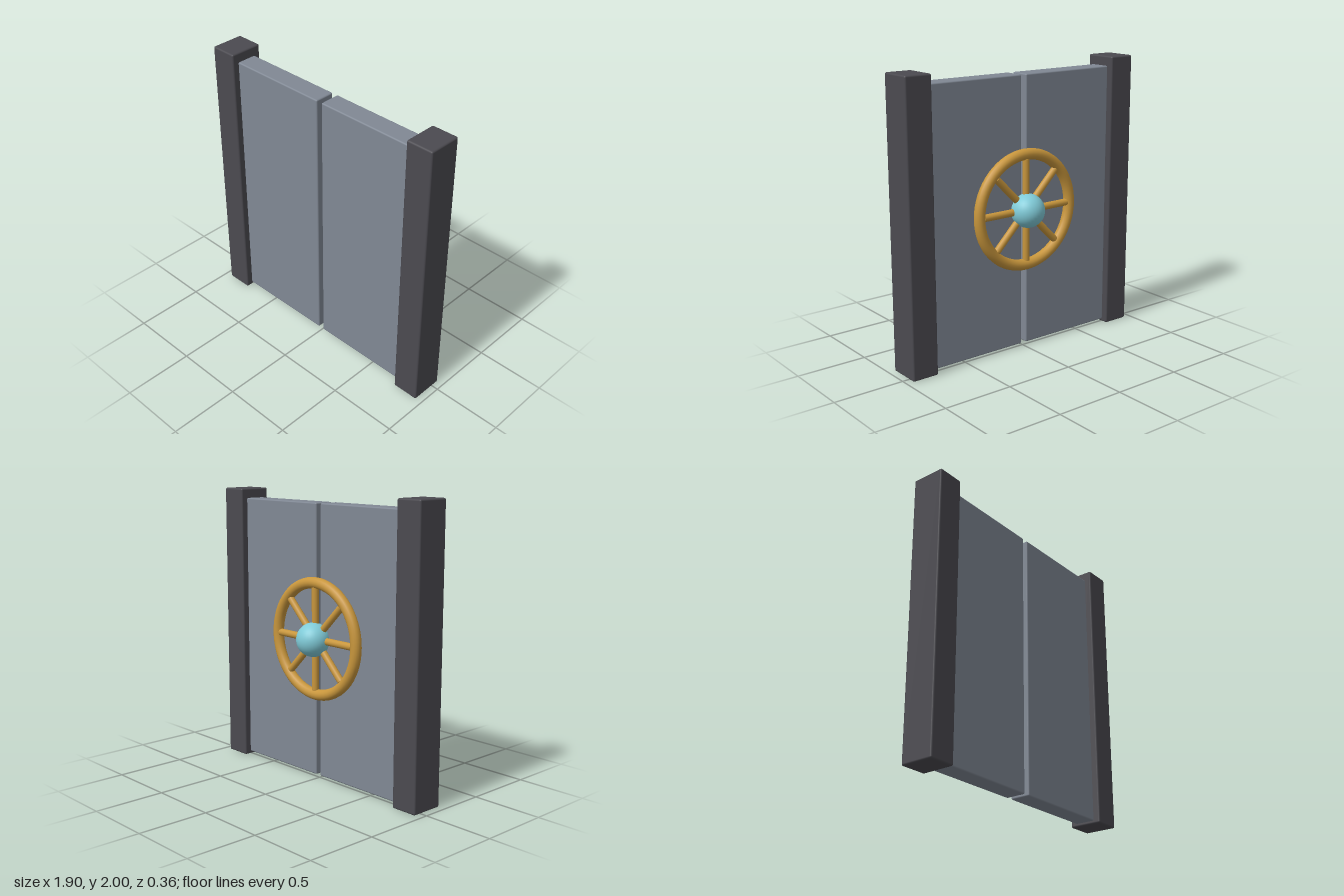
import * as THREE from 'three';
import { RoundedBoxGeometry } from 'three/addons/geometries/RoundedBoxGeometry.js';

function material(name, color) {
  const m = new THREE.MeshStandardMaterial({ color });
  m.name = name;
  return m;
}

export function createModel() {
  const model = new THREE.Group();
  model.name = 'vaultDoor';

  const darkSteel = material('dark steel', 0x4b4a50);
  const greySteel = material('grey steel', 0x808894);
  const brass = material('brass', 0xc8963c);
  const blueGlass = material('pale blue', 0x80cbd8);

  const add = (parent, name, geometry, mat, x, y, z) => {
    const mesh = new THREE.Mesh(geometry, mat);
    mesh.name = name;
    mesh.position.set(x, y, z);
    parent.add(mesh);
    return mesh;
  };

  // Posts and door leaves, mirrored
  for (const [side, s] of [['left', 1], ['right', -1]]) {
    add(model, side + 'Post', new RoundedBoxGeometry(0.194, 2, 0.239, 2, 0.012),
      darkSteel, s * 0.855, 1, 0.0585);
    add(model, side + 'Door', new RoundedBoxGeometry(0.742, 1.912, 0.146, 2, 0.01),
      greySteel, s * 0.391, 0.976, 0.058);
  }

  // Hand wheel on the back
  const wheel = new THREE.Group();
  wheel.name = 'handWheel';
  wheel.position.set(0, 1.004, -0.035);
  model.add(wheel);

  add(wheel, 'rim', new THREE.TorusGeometry(0.39, 0.039, 16, 64), brass, 0, 0, 0);

  // Eight spokes as four full-width bars
  const bar = new THREE.CylinderGeometry(0.025, 0.025, 0.72, 16);
  for (let i = 0; i < 4; i++) {
    add(wheel, 'spokeBar' + (i + 1), bar, brass, 0, 0, -0.005).rotation.z = i * Math.PI / 4;
  }

  add(wheel, 'hub', new THREE.SphereGeometry(0.119, 32, 24), blueGlass, 0, 0, -0.024);

  return model;
}
